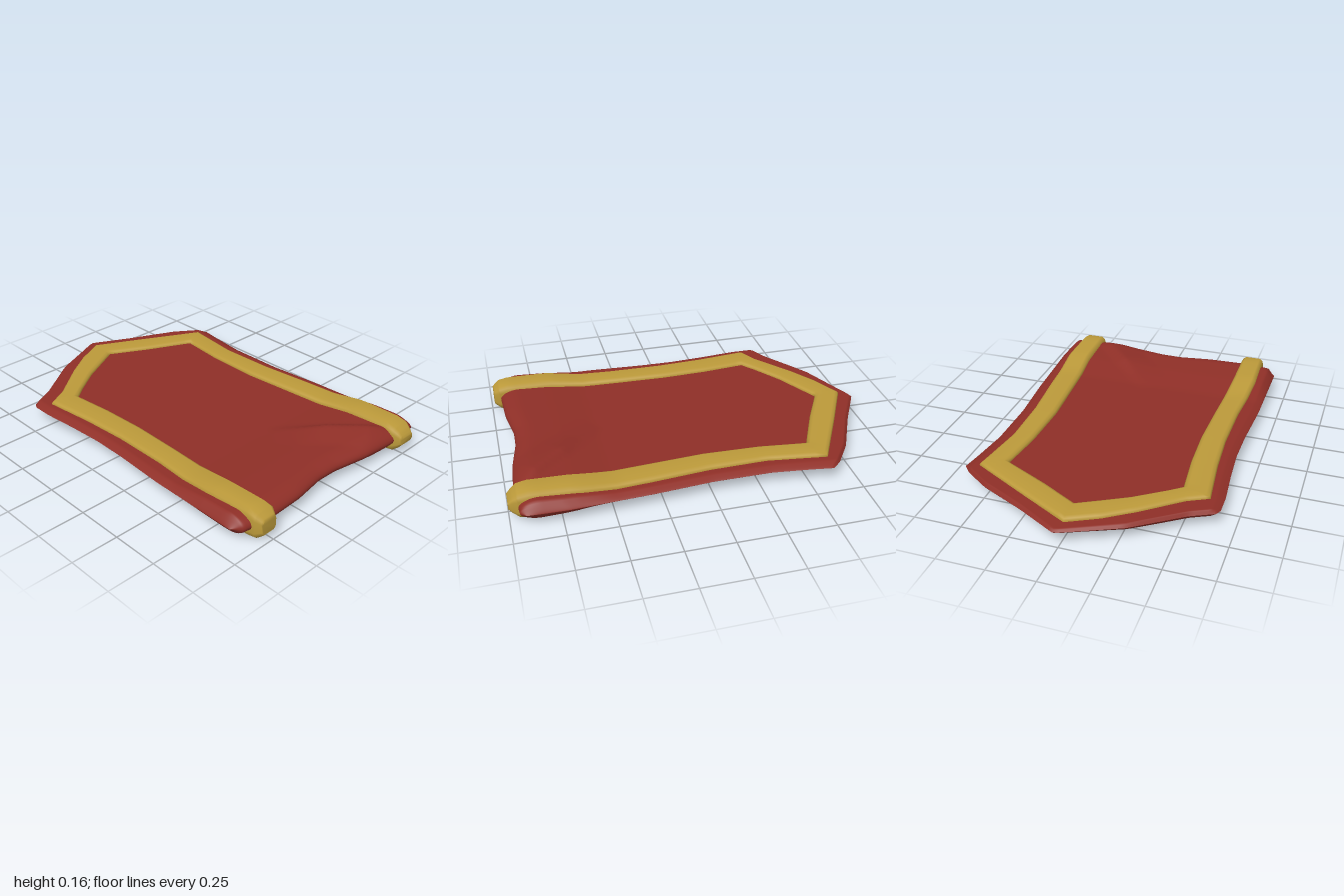
import * as THREE from 'three';

const MID = 0.08; // height of the middle plane

// Linear interpolation through [key, value] pairs with rising keys
function curve(points, k) {
  if (k <= points[0][0]) return points[0][1];
  for (let i = 1; i < points.length; i++) {
    const [a, va] = points[i - 1], [b, vb] = points[i];
    if (k <= b) return va + (vb - va) * (k - a) / (b - a);
  }
  return points[points.length - 1][1];
}

// Outline of the cloth
const frontZ = [[-0.665, 0.88], [-0.62, 0.93], [-0.5, 0.95], [-0.25, 0.94], [-0.07, 0.912], [0.05, 0.915], [0.25, 0.95], [0.45, 0.965], [0.64, 0.95], [0.665, 0.92]];
const backZ = [[-0.665, -0.59], [-0.65, -0.62], [-0.53, -0.68], [-0.28, -0.86], [0, -0.99], [0.02, -1], [0.04, -0.99], [0.24, -0.88], [0.49, -0.76], [0.62, -0.67], [0.665, -0.62]];
const rightX = [[-0.6, 0.67], [-0.5, 0.67], [-0.3, 0.652], [-0.1, 0.64], [0.1, 0.643], [0.4, 0.66], [0.9, 0.665]];
const leftX = [[-0.63, 0.665], [-0.5, 0.645], [-0.3, 0.62], [0, 0.62], [0.3, 0.645], [0.7, 0.665], [0.9, 0.66]];

// Half thickness of cloth and of trim along z
const clothHalf = [[-1, 0.012], [-0.8, 0.018], [-0.5, 0.02], [0.48, 0.021], [0.68, 0.042], [0.85, 0.05]];
const trimHalf = [[-0.92, 0.036], [0, 0.043], [0.48, 0.045], [0.68, 0.073], [0.9, 0.078], [0.95, 0.068], [0.98, 0.045], [1, 0.02]];

// Diagonal fold near the front left corner: soft on one side, steep on the other
function fold(x, z) {
  const dx = 0.68, dz = 0.733;
  const along = ((x - 0.02) * dx + (z - 0.45) * dz) / 0.6;
  const across = (x - 0.02) * dz - (z - 0.45) * dx;
  const height = curve([[0, 0], [0.3, 0.012], [0.55, 0.03], [0.9, 0.026], [1.1, 0]], along);
  const side = across < 0 ? 1 + across / 0.16 : 1 - across / 0.04;
  return height * Math.max(0, side);
}

function clothSide(sign) {
  const cols = 80, rows = 100, pos = [], index = [];
  for (let j = 0; j <= rows; j++) {
    const s = (1 - Math.cos(Math.PI * j / rows)) / 2;
    for (let i = 0; i <= cols; i++) {
      const u = Math.sin(Math.PI / 2 * (2 * i / cols - 1));
      const zf = curve(frontZ, u * 0.665), zb = curve(backZ, u * 0.665);
      const z = zf + (zb - zf) * s;
      const edgeZ = 0.9 - 1.51 * s;
      const edge = curve(u < 0 ? rightX : leftX, edgeZ);
      const x = u * edge;
      // round off towards the sides, front and back
      const rim = Math.min(1, (1 - Math.abs(u)) * edge / 0.04) ** 0.8;
      const f = Math.min(1, (zf - z) / 0.1);
      const front = Math.sqrt(Math.max(0, 1 - (1 - f) ** 2));
      const back = Math.min(1, (z - zb) / 0.015);
      const half = (curve(clothHalf, z) + fold(x, z)) * rim * front * Math.max(0, back);
      pos.push(x, MID + sign * half, z);
      if (i < cols && j < rows) {
        const a = j * (cols + 1) + i, b = a + 1, c = a + cols + 1, d = c + 1;
        if (sign > 0) index.push(a, b, d, a, d, c);
        else index.push(a, d, b, a, c, d);
      }
    }
  }
  return build(pos, index);
}

function build(pos, index) {
  const g = new THREE.BufferGeometry();
  g.setAttribute('position', new THREE.Float32BufferAttribute(pos, 3));
  g.setIndex(index);
  g.computeVertexNormals();
  return g;
}

// Trim stations: outer x, outer z, inner x, inner z
const stations = [
  [-0.56, 0.985, -0.47, 0.985], [-0.58, 0.95, -0.45, 0.95], [-0.588, 0.67, -0.45, 0.67],
  [-0.562, 0.3, -0.434, 0.28], [-0.56, 0, -0.426, 0], [-0.575, -0.25, -0.435, -0.25],
  [-0.607, -0.535, -0.458, -0.49], [-0.5, -0.59, -0.39, -0.545], [-0.3, -0.75, -0.24, -0.65],
  [-0.16, -0.845, -0.12, -0.715], [0, -0.925, 0, -0.78], [0.26, -0.79, 0.2, -0.67],
  [0.585, -0.615, 0.448, -0.55], [0.542, -0.3, 0.42, -0.3], [0.547, 0, 0.412, 0],
  [0.575, 0.3, 0.432, 0.3], [0.6, 0.65, 0.456, 0.65], [0.592, 0.95, 0.455, 0.95], [0.57, 1, 0.475, 1],
];

function trimGeometry() {
  // bevelled section: position across the band, share of half height
  const section = [[0, 0.5], [0.05, 0.8], [0.17, 1], [0.83, 1], [0.95, 0.8], [1, 0.5], [1, -0.5], [0.95, -0.8], [0.83, -1], [0.17, -1], [0.05, -0.8], [0, -0.5]];
  const n = section.length, steps = 6, pos = [], index = [];
  const total = (stations.length - 1) * steps;
  for (let k = 0; k <= total; k++) {
    const a = Math.min(Math.floor(k / steps), stations.length - 2), t = k / steps - a;
    const [ox, oz, ix, iz] = stations[a].map((v, m) => v + (stations[a + 1][m] - v) * t);
    const half = curve(trimHalf, (oz + iz) / 2);
    for (const [w, h] of section) pos.push(ox + (ix - ox) * w, MID + half * h, oz + (iz - oz) * w);
    if (k < total) for (let i = 0; i < n; i++) {
      const p = k * n + i, q = k * n + (i + 1) % n;
      index.push(p, q, q + n, p, q + n, p + n);
    }
  }
  // end caps
  for (let i = 1; i < n - 1; i++) {
    index.push(0, i + 1, i);
    index.push(total * n, total * n + i, total * n + i + 1);
  }
  return build(pos, index);
}

export function createModel() {
  const red = new THREE.MeshStandardMaterial({ color: 0x8f2f27, side: THREE.DoubleSide });
  red.name = 'red cloth';
  const gold = new THREE.MeshStandardMaterial({ color: 0xbc9a3a, side: THREE.DoubleSide });
  gold.name = 'gold trim';

  const model = new THREE.Group();
  model.name = 'trimmedCloth';
  const add = (name, geometry, material) => {
    const mesh = new THREE.Mesh(geometry, material);
    mesh.name = name;
    model.add(mesh);
  };
  add('clothTop', clothSide(1), red);
  add('clothUnderside', clothSide(-1), red);
  add('goldBorder', trimGeometry(), gold);
  return model;
}
